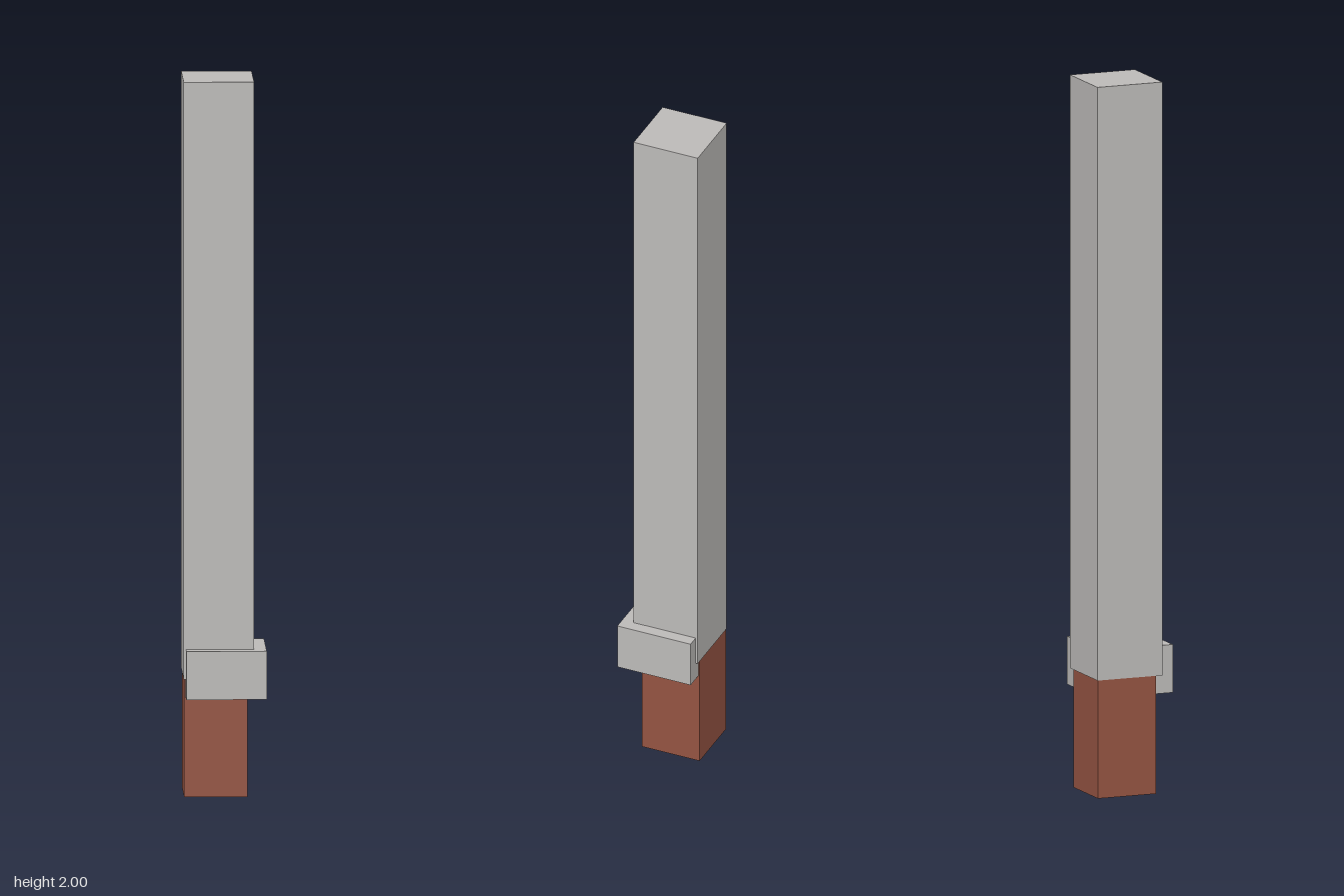
import * as THREE from 'three';

export function createModel() {
  const group = new THREE.Group();
  const steel = new THREE.MeshStandardMaterial({ color: 0xbdbbb9 });
  steel.name = 'steel grey';
  const leather = new THREE.MeshStandardMaterial({ color: 0x955442 });
  leather.name = 'leather brown';

  // Square block spanning min..max in both x and z
  const block = (name, min, max, bottom, top, material) => {
    const width = max - min;
    const mesh = new THREE.Mesh(new THREE.BoxGeometry(width, top - bottom, width), material);
    const middle = (min + max) / 2;
    mesh.position.set(middle, (bottom + top) / 2, middle);
    mesh.name = name;
    group.add(mesh);
  };

  // Grip, offset guard and long blade, nearly flush at the back left corner
  block('grip', -0.113, 0.061, 0, 0.332, leather);
  block('guard', -0.109, 0.113, 0.28, 0.415, steel);
  block('blade', -0.115, 0.079, 0.332, 2, steel);

  return group;
}
